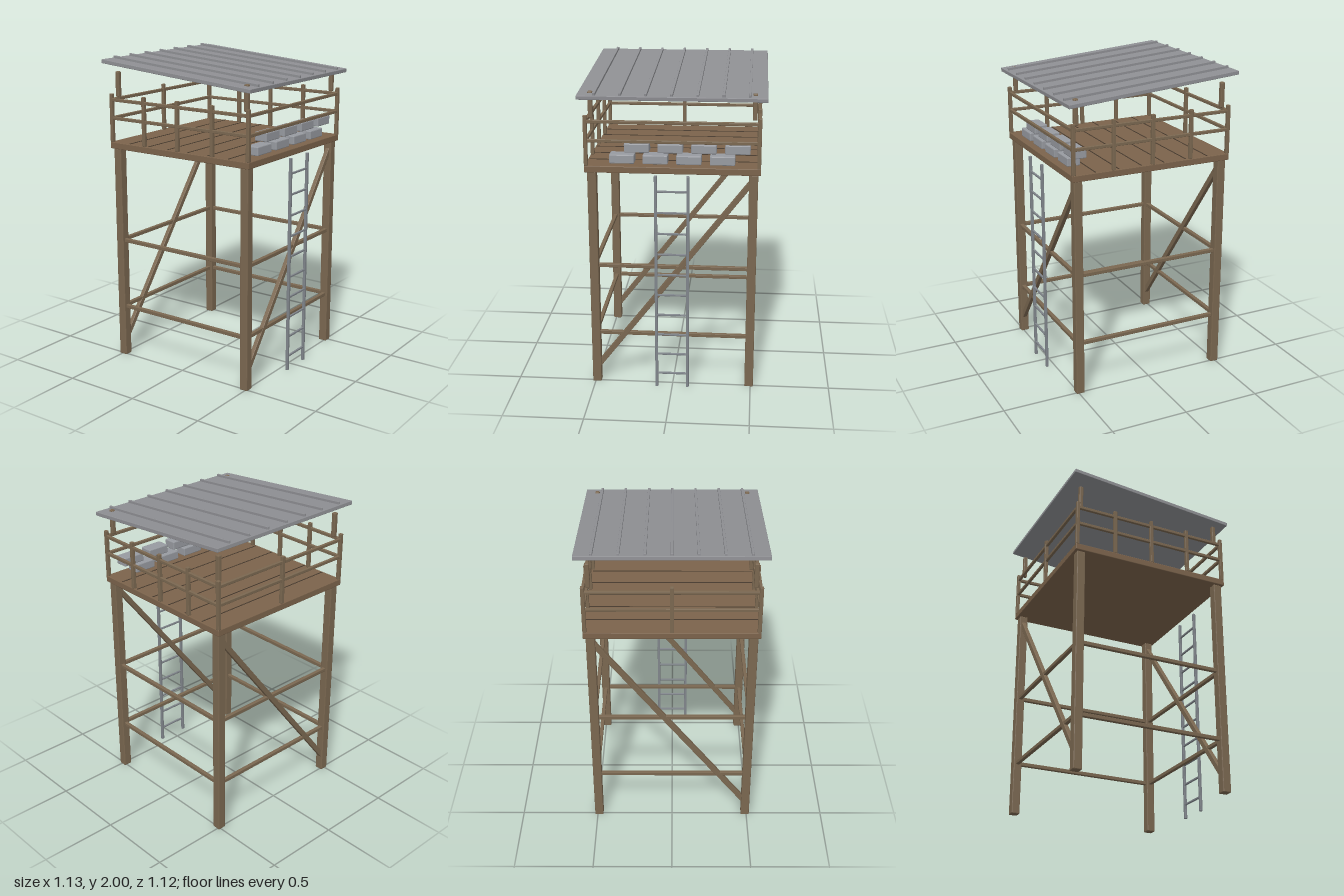
import * as THREE from 'three';
import { RoundedBoxGeometry } from 'three/addons/geometries/RoundedBoxGeometry.js';

const mat = (name, color) => {
  const m = new THREE.MeshStandardMaterial({ color });
  m.name = name;
  return m;
};

export function createModel() {
  const wood = mat('timber', 0x7a6750);
  const deckWood = mat('deck wood', 0x7b634b);
  const gap = mat('plank gap', 0x4a3d30);
  const roofMetal = mat('roof metal', 0x8e8f93);
  const ladderMetal = mat('ladder metal', 0x80858b);
  const bag = mat('sandbag grey', 0x979aa0);

  const model = new THREE.Group();
  model.name = 'watchtower';

  const group = (name, parent = model) => {
    const g = new THREE.Group();
    g.name = name;
    parent.add(g);
    return g;
  };

  // Box with small chamfered, flat-shaded edges
  const beam = (parent, name, material, [w, h, d], [x, y, z], bevel = 0.003) => {
    const geo = new RoundedBoxGeometry(w, h, d, 1, bevel);
    geo.computeVertexNormals();
    const mesh = new THREE.Mesh(geo, material);
    mesh.name = name;
    mesh.position.set(x, y, z);
    parent.add(mesh);
    return mesh;
  };

  // Legs and the short posts under the roof
  const frame = group('frame');
  const L = 0.49;
  for (const x of [-L, L]) {
    for (const z of [-L, L]) {
      beam(frame, 'leg', wood, [0.055, 1.415, 0.055], [x, 0.7075, z], 0.005);
      beam(frame, 'roofPost', wood, [0.028, 0.16, 0.028], [x, 1.826, z], 0.006);
    }
  }

  // Horizontal braces on all four sides, diagonals on front and back
  for (const s of [-1, 1]) {
    for (const y of [0.342, 0.802]) {
      beam(frame, 'crossBrace', wood, [2 * L, 0.024, 0.024], [0, y, s * L]);
      beam(frame, 'sideBrace', wood, [0.024, 0.024, 2 * L], [s * L, y, 0]);
    }
    const rise = 1.28;
    const diagonal = beam(frame, 'diagonalBrace', wood,
      [Math.hypot(2 * L, rise), 0.034, 0.028], [0, 0.737, s * L]);
    diagonal.rotation.z = Math.atan2(rise, 2 * L);
  }

  // Deck with thin lines between the planks
  const deck = group('deck');
  const D = 1.065;
  beam(deck, 'platform', deckWood, [D, 0.042, D], [0, 1.436, 0], 0.004);
  for (let i = 1; i < 7; i++) {
    const line = new THREE.Mesh(new THREE.BoxGeometry(D - 0.02, 0.004, 0.006), gap);
    line.name = 'plankGap';
    line.position.set(0, 1.458, -D / 2 + (i * D) / 7);
    deck.add(line);
  }

  // Railing
  const railing = group('railing');
  const R = 0.521;
  const post = (x, z) => beam(railing, 'railPost', wood, [0.023, 0.31, 0.023], [x, 1.611, z]);
  for (const s of [-1, 1]) {
    for (let i = -2; i <= 2; i++) post(s * R, (i * R) / 2);
    for (const y of [1.611, 1.728]) {
      beam(railing, 'crossRail', wood, [D, 0.02, 0.018], [0, y, s * R]);
      beam(railing, 'sideRail', wood, [0.018, 0.02, D], [s * R, y, 0]);
    }
  }
  post(0, -R);

  // Ladder
  const ladder = group('ladder');
  for (const x of [-0.098, 0.098]) {
    beam(ladder, 'ladderRail', ladderMetal, [0.018, 1.41, 0.018], [x, 0.705, 0.551]);
  }
  for (let i = 0; i < 10; i++) {
    beam(ladder, 'rung', ladderMetal, [0.196, 0.012, 0.012], [0, 0.095 + i * 0.135, 0.551], 0.002);
  }

  // Two staggered rows of sandbags behind the front rail
  const bags = group('sandbags');
  for (let i = 0; i < 4; i++) {
    beam(bags, 'lowerBag', bag, [0.152, 0.056, 0.086], [-0.308 + i * 0.203, 1.492, 0.455], 0.006);
    beam(bags, 'upperBag', bag, [0.152, 0.056, 0.086], [-0.217 + i * 0.203, 1.562, 0.455], 0.006);
  }

  // Sloping roof with seven raised ribs
  const roof = group('roof');
  roof.position.y = 1.925;
  roof.rotation.x = 0.083;
  beam(roof, 'roofSheet', roofMetal, [1.128, 0.025, 1.125], [0, 0, 0]);
  for (let i = -3; i <= 3; i++) {
    beam(roof, 'roofRib', roofMetal, [0.015, 0.022, 1.1], [i * 0.153, 0.0175, 0], 0.002);
  }

  return model;
}
